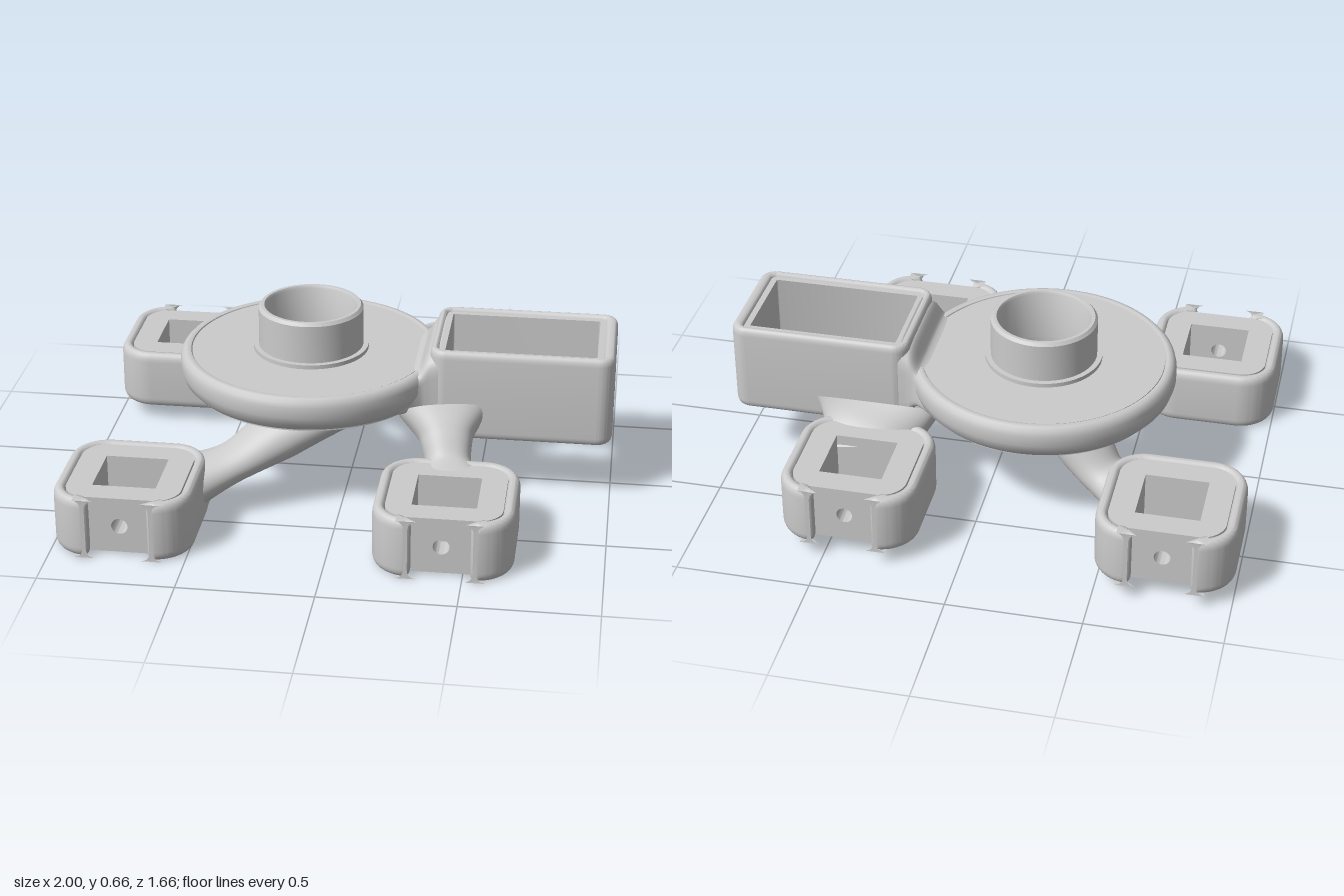
import * as THREE from 'three';
import { toCreasedNormals } from 'three/addons/utils/BufferGeometryUtils.js';

const grey = new THREE.MeshStandardMaterial({ color: 0xcccccc, side: THREE.DoubleSide });

function add(parent, name, geometry) {
  const mesh = new THREE.Mesh(geometry, grey);
  mesh.name = name;
  parent.add(mesh);
  return mesh;
}

// Rounded rectangle in plan (shape y = model z)
function roundRect(x0, x1, z0, z1, r, Type = THREE.Shape) {
  const s = new Type();
  s.moveTo(x0 + r, z0);
  s.lineTo(x1 - r, z0);
  s.absarc(x1 - r, z0 + r, r, -Math.PI / 2, 0);
  s.lineTo(x1, z1 - r);
  s.absarc(x1 - r, z1 - r, r, 0, Math.PI / 2);
  s.lineTo(x0 + r, z1);
  s.absarc(x0 + r, z1 - r, r, Math.PI / 2, Math.PI);
  s.lineTo(x0, z0 + r);
  s.absarc(x0 + r, z0 + r, r, Math.PI, Math.PI * 1.5);
  return s;
}

const circle = (x, y, r) => new THREE.Path().absarc(x, y, r, 0, Math.PI * 2);

// Plan shape extruded between two heights, with rounded edges
function slab(shape, y0, y1, bevel = 0, rise = bevel) {
  const g = new THREE.ExtrudeGeometry(shape, {
    depth: y1 - y0 - 2 * rise, curveSegments: 12, bevelEnabled: bevel > 0,
    bevelSize: bevel, bevelThickness: rise, bevelOffset: -bevel, bevelSegments: 5,
  });
  g.rotateX(Math.PI / 2).translate(0, y1 - rise, 0);
  return toCreasedNormals(g, 0.7);
}

// Superellipse sections swept along a path; each stop is [x, y, z, halfWidth, halfHeight]
function sweep(stops, exponent = 2, rings = 28, sides = 40) {
  const path = new THREE.CatmullRomCurve3(stops.map(s => new THREE.Vector3(s[0], s[1], s[2])));
  const size = new THREE.CatmullRomCurve3(stops.map(s => new THREE.Vector3(s[3], s[4], 0)));
  const power = v => Math.sign(v) * Math.abs(v) ** (2 / exponent);
  const pos = [], index = [];
  for (let i = 0; i <= rings; i++) {
    const c = path.getPoint(i / rings), t = path.getTangent(i / rings), d = size.getPoint(i / rings);
    const side = new THREE.Vector3().crossVectors(t, new THREE.Vector3(0, 1, 0)).normalize();
    const up = new THREE.Vector3().crossVectors(side, t);
    for (let j = 0; j < sides; j++) {
      const a = (j / sides) * Math.PI * 2;
      const p = c.clone().addScaledVector(side, d.x * power(Math.cos(a))).addScaledVector(up, d.y * power(Math.sin(a)));
      pos.push(p.x, p.y, p.z);
      if (i < rings) {
        const k = i * sides + j, n = i * sides + (j + 1) % sides;
        index.push(k, k + sides, n, n, k + sides, n + sides);
      }
    }
  }
  const g = new THREE.BufferGeometry();
  g.setAttribute('position', new THREE.Float32BufferAttribute(pos, 3));
  g.setIndex(index);
  g.computeVertexNormals();
  return g;
}

const lathe = points => toCreasedNormals(
  new THREE.LatheGeometry(points.map(p => new THREE.Vector2(...p)), 80), 0.6);

// Open C around the insert: outer run one way, inner run back, round tips
function clipShape() {
  const s = new THREE.Shape(), P = Math.PI, o = 0.257, i = 0.21, r = 0.14, q = 0.093, tip = 0.13;
  const mid = (o + i) / 2, tr = (o - i) / 2;
  s.moveTo(tip, i);
  s.absarc(tip, mid, tr, -P / 2, P / 2, true);
  s.absarc(o - r, o - r, r, P / 2, 0, true);
  s.absarc(o - r, r - o, r, 0, -P / 2, true);
  s.absarc(r - o, r - o, r, -P / 2, -P, true);
  s.absarc(r - o, o - r, r, P, P / 2, true);
  s.absarc(-tip, mid, tr, P / 2, -P / 2, true);
  s.absarc(q - i, i - q, q, P / 2, P, false);
  s.absarc(q - i, q - i, q, P, P * 1.5, false);
  s.absarc(i - q, q - i, q, -P / 2, 0, false);
  s.absarc(i - q, i - q, q, 0, P / 2, false);
  return s;
}

// Square tube insert, open at its outer wall where the drilled plate sits
function insertShape() {
  const s = new THREE.Shape(), P = Math.PI, i = 0.212, r = 0.093, h = 0.117;
  s.moveTo(h, i);
  s.lineTo(h, -h);
  s.lineTo(-h, -h);
  s.lineTo(-h, i);
  s.absarc(r - i, i - r, r, P / 2, P, false);
  s.absarc(r - i, r - i, r, P, P * 1.5, false);
  s.absarc(i - r, r - i, r, -P / 2, 0, false);
  s.absarc(i - r, i - r, r, 0, P / 2, false);
  return s;
}

function makeSocket(name) {
  const g = new THREE.Group(), H = 0.23;
  g.name = name;
  add(g, 'socketClip', slab(clipShape(), 0, H, 0.021, 0.035));
  add(g, 'socketInsert', slab(insertShape(), 0.008, H - 0.006));
  const wall = new THREE.Shape([[-0.117, 0.008], [0.117, 0.008], [0.117, H - 0.006], [-0.117, H - 0.006]]
    .map(p => new THREE.Vector2(...p)));
  wall.holes.push(circle(0, 0.112, 0.03));
  const plate = new THREE.ExtrudeGeometry(wall, { depth: 0.095, bevelEnabled: false, curveSegments: 16 });
  add(g, 'drilledWall', toCreasedNormals(plate.translate(0, 0, 0.117), 0.7));
  return g;
}

export function createModel() {
  const model = new THREE.Group();
  model.name = 'ringMountWithSockets';

  // Four sockets; the back pair sits higher and faces backwards
  for (const [side, x] of [['Right', -0.742], ['Left', 0.422]]) {
    const front = makeSocket('front' + side + 'Socket');
    front.position.set(x, 0.002, 0.574);
    const back = makeSocket('back' + side + 'Socket');
    back.position.set(x, 0.06, -0.574);
    back.rotation.y = Math.PI;
    model.add(front, back);
  }

  // Round hub with a thick rim
  const hub = new THREE.Group();
  hub.name = 'hub';
  hub.position.set(-0.165, 0, -0.06);
  model.add(hub);
  add(hub, 'hubBody', lathe([[0.153, 0.47], [0.153, 0.335], [0.38, 0.333], [0.43, 0.34], [0.465, 0.355],
    [0.488, 0.38], [0.5, 0.415], [0.5, 0.455], [0.495, 0.475], [0.483, 0.488], [0.47, 0.491],
    [0.46, 0.488], [0.456, 0.478]]));
  // Cover plate, flange and collar in one turned profile
  add(hub, 'collar', lathe([[0.153, 0.345], [0.456, 0.345], [0.456, 0.486], [0.22, 0.486], [0.22, 0.502],
    [0.2, 0.502], [0.2, 0.65], [0.19, 0.662], [0.178, 0.662], [0.172, 0.652], [0.172, 0.4],
    [0.153, 0.4], [0.153, 0.345]]));

  // Open housing on the model's left
  const shell = roundRect(0.31, 0.998, -0.285, 0.167, 0.06);
  shell.holes.push(roundRect(0.345, 0.95, -0.25, 0.132, 0.02, THREE.Path));
  add(model, 'housingShell', slab(shell, 0.237, 0.588, 0.017, 0.03));
  const liner = roundRect(0.34, 0.955, -0.255, 0.137, 0.02);
  liner.holes.push(roundRect(0.365, 0.93, -0.23, 0.112, 0.005, THREE.Path));
  add(model, 'housingLiner', slab(liner, 0.25, 0.575));

  // Housing floor with stepped cut-out and screw holes
  const floor = roundRect(0.355, 0.94, -0.24, 0.122, 0.01);
  const cut = new THREE.Path();
  cut.moveTo(0.62, -0.135);
  cut.lineTo(0.42, -0.135);
  cut.quadraticCurveTo(0.325, -0.0625, 0.42, 0.01);
  for (const p of [[0.62, 0.01], [0.62, 0.068], [0.7, 0.068], [0.7, 0.05], [0.85, 0.05], [0.85, -0.17],
    [0.7, -0.17], [0.7, -0.19], [0.62, -0.19]]) cut.lineTo(...p);
  cut.closePath();
  floor.holes.push(cut);
  for (const [x, z] of [[0.59, -0.175], [0.59, 0.055], [0.875, -0.18], [0.875, 0.06]])
    floor.holes.push(circle(x, z, 0.012));
  add(model, 'housingFloor', slab(floor, 0.25, 0.28));

  // Flared neck from hub to housing
  add(model, 'neck', sweep([[0.05, 0.405, -0.06, 0.3, 0.06], [0.18, 0.405, -0.06, 0.31, 0.068],
    [0.27, 0.41, -0.06, 0.245, 0.085], [0.31, 0.412, -0.06, 0.228, 0.15],
    [0.345, 0.412, -0.06, 0.224, 0.172]], 5, 32, 64));

  // Arms from the sockets up to the hub and housing
  add(model, 'frontRightArm', sweep([[-0.56, 0.12, 0.42, 0.13, 0.095], [-0.4, 0.185, 0.36, 0.1, 0.07],
    [-0.22, 0.28, 0.26, 0.13, 0.095], [-0.02, 0.38, 0.21, 0.15, 0.08]]));
  add(model, 'backRightArm', sweep([[-0.56, 0.175, -0.42, 0.13, 0.09], [-0.46, 0.21, -0.38, 0.095, 0.07],
    [-0.36, 0.3, -0.32, 0.115, 0.085], [-0.24, 0.39, -0.28, 0.1, 0.07]]));
  add(model, 'frontLeftArm', sweep([[0.42, 0.13, 0.39, 0.19, 0.1], [0.4, 0.19, 0.29, 0.085, 0.08],
    [0.385, 0.26, 0.22, 0.1, 0.085], [0.37, 0.33, 0.145, 0.17, 0.09]], 2.4));
  add(model, 'backLeftArm', sweep([[0.42, 0.17, -0.39, 0.23, 0.095], [0.43, 0.22, -0.33, 0.19, 0.085],
    [0.43, 0.31, -0.26, 0.24, 0.09]], 2.6));

  return model;
}
